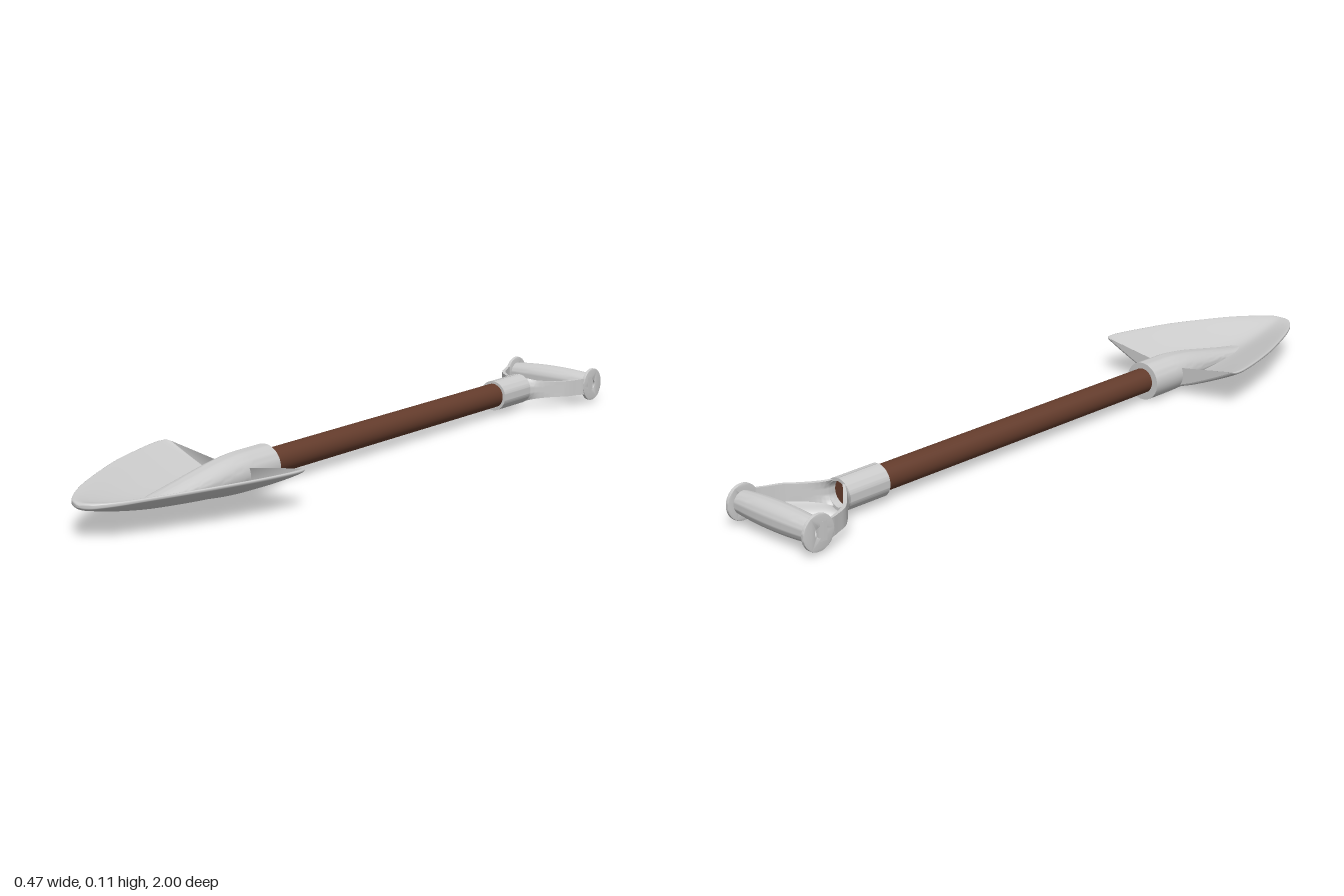
import * as THREE from 'three';
import { toCreasedNormals } from 'three/addons/utils/BufferGeometryUtils.js';

const AXIS = 0.057; // height of the shaft's centre line

// Spline every column of a table of stations and sample it n + 1 times
function smooth(rows, n) {
  const curves = rows[0].map((_, c) => new THREE.SplineCurve(rows.map(r => new THREE.Vector2(r[c], 0))));
  return Array.from({ length: n + 1 }, (_, i) => curves.map(c => c.getPoint(i / n).x));
}

// Skin over closed rings (counterclockwise seen from +z, ordered by rising z), with flat end caps
function loft(rings) {
  const pos = [], idx = [], m = rings[0].length, last = rings.length - 1;
  rings.forEach(r => r.forEach(p => pos.push(...p)));
  for (let i = 0; i < last; i++) {
    for (let j = 0; j < m; j++) {
      const a = i * m + j, b = i * m + (j + 1) % m;
      idx.push(a, b, a + m, b, b + m, a + m);
    }
  }
  for (const i of [0, last]) {
    const base = pos.length / 3, r = rings[i];
    r.forEach(p => pos.push(...p));
    pos.push(...[0, 1, 2].map(k => r.reduce((s, p) => s + p[k], 0) / m));
    for (let j = 0; j < m; j++) {
      const a = base + j, b = base + (j + 1) % m;
      idx.push(base + m, ...(i ? [a, b] : [b, a]));
    }
  }
  const g = new THREE.BufferGeometry();
  g.setAttribute('position', new THREE.Float32BufferAttribute(pos, 3));
  g.setIndex(idx);
  g.computeVertexNormals();
  return g;
}

// Dished blade: z, half width, half thickness, centre height, edge height
function bladeGeometry() {
  const rows = [
    [0.468, 0.222, 0.002, 0.022, 0.104], [0.472, 0.230, 0.007, 0.022, 0.104],
    [0.485, 0.236, 0.009, 0.023, 0.104], [0.52, 0.233, 0.010, 0.025, 0.104],
    [0.60, 0.214, 0.010, 0.030, 0.103], [0.70, 0.184, 0.010, 0.037, 0.102],
    [0.80, 0.144, 0.010, 0.047, 0.099], [0.88, 0.108, 0.010, 0.060, 0.096],
    [0.94, 0.074, 0.010, 0.073, 0.092], [0.98, 0.042, 0.010, 0.083, 0.089],
    [0.994, 0.022, 0.008, 0.086, 0.088], [1.0, 0.004, 0.003, 0.087, 0.087],
  ];
  const k = 0.06, N = 72;
  const dish = s => (Math.sqrt(s * s + k) - Math.sqrt(k)) / (Math.sqrt(1 + k) - Math.sqrt(k));
  return loft(smooth(rows, 66).map(([z, w, t, c, e]) => Array.from({ length: N }, (_, j) => {
    const a = j / N * Math.PI * 2, s = Math.cos(a), h = Math.sin(a);
    return [w * s, c + (e - c) * dish(s) + t * Math.sign(h) * Math.abs(h) ** 0.5, z];
  })));
}

// Socket fading into the blade: z, half width, top, bottom
function bladeSocketGeometry() {
  const rows = [
    [0.355, 0.053, 0.109, 0.003], [0.41, 0.053, 0.109, 0.003], [0.47, 0.053, 0.108, 0.004],
    [0.54, 0.050, 0.100, 0.009], [0.62, 0.045, 0.085, 0.019], [0.70, 0.038, 0.069, 0.030],
    [0.76, 0.030, 0.058, 0.038], [0.81, 0.018, 0.053, 0.044],
  ];
  const N = 40;
  return toCreasedNormals(loft(smooth(rows, 35).map(([z, w, top, bottom]) => Array.from({ length: N }, (_, j) => {
    const a = j / N * Math.PI * 2;
    return [w * Math.cos(a), (top + bottom) / 2 + (top - bottom) / 2 * Math.sin(a), z];
  }))), 0.7);
}

// One arm of the fork: z, outer x, half height, thickness along x, inward curl of the edges
function armGeometry() {
  const rows = [
    [-0.955, 0.140, 0.024, 0.008, 0], [-0.915, 0.139, 0.024, 0.008, 0], [-0.885, 0.129, 0.023, 0.009, 0],
    [-0.85, 0.114, 0.023, 0.011, 0], [-0.82, 0.088, 0.023, 0.014, 0], [-0.79, 0.058, 0.027, 0.013, 0.004],
    [-0.768, 0.043, 0.034, 0.009, 0.017], [-0.74, 0.042, 0.035, 0.007, 0.018],
  ];
  const N = 10;
  return toCreasedNormals(loft(smooth(rows, 42).map(([z, x, h, t, curl]) => {
    const side = Array.from({ length: N + 1 }, (_, j) => {
      const u = j / N * 2 - 1;
      return [x - curl * u * u, h * u, z];
    });
    return [...side, ...side.map(([px, py]) => [px - t, py, z]).reverse()];
  })), 0.7);
}

// Half of the split upper socket
function halfSocketGeometry() {
  const gap = 0.03, shape = new THREE.Shape();
  shape.absarc(0, 0, 0.043, -Math.PI / 2 + gap, Math.PI / 2 - gap, false);
  shape.absarc(0, 0, 0.0345, Math.PI / 2 - gap, -Math.PI / 2 + gap, true);
  const g = new THREE.ExtrudeGeometry(shape, { depth: 0.13, bevelEnabled: false, curveSegments: 24 });
  return toCreasedNormals(g.translate(0, 0, -0.77), 0.6);
}

// Pierced round eye at the end of an arm
function eyeGeometry() {
  const shape = new THREE.Shape().absarc(0, 0, 0.0455, 0, Math.PI * 2, false);
  shape.holes.push(new THREE.Path().absarc(0, 0, 0.014, 0, Math.PI * 2, true));
  const g = new THREE.ExtrudeGeometry(shape, {
    depth: 0.006, bevelThickness: 0.0015, bevelSize: 0.0015, bevelSegments: 2, curveSegments: 24,
  });
  return toCreasedNormals(g.rotateY(Math.PI / 2).translate(0.1325, 0, -0.953), 0.6);
}

// Barrel-shaped hollow grip
function gripGeometry() {
  const pts = [[0.0125, -0.132]];
  for (let i = 0; i <= 16; i++) {
    const u = i / 8 - 1;
    pts.push([0.037 - 0.007 * u * u, 0.132 * u]);
  }
  pts.push([0.0125, 0.132], [0.0125, -0.132]);
  const g = new THREE.LatheGeometry(pts.map(p => new THREE.Vector2(...p)), 36);
  return toCreasedNormals(g.rotateZ(Math.PI / 2).translate(0, 0, -0.953), 0.6);
}

export function createModel() {
  const model = new THREE.Group();
  model.name = 'shovel';
  const metal = new THREE.MeshStandardMaterial({ color: 0xcccccc });
  const wood = new THREE.MeshStandardMaterial({ color: 0x643c2c });
  const add = (parent, name, geometry, material = metal) => {
    const mesh = new THREE.Mesh(geometry, material);
    mesh.name = name;
    parent.add(mesh);
    return mesh;
  };

  add(model, 'blade', bladeGeometry());
  add(model, 'bladeSocket', bladeSocketGeometry());

  // Wooden shaft running into both sockets
  const shaft = new THREE.CylinderGeometry(0.0345, 0.0345, 1.14, 36).rotateX(Math.PI / 2);
  add(model, 'shaft', shaft, wood).position.set(0, AXIS + 0.001, -0.18);

  // Fork and grip, both sides alike
  const handle = new THREE.Group();
  handle.name = 'handle';
  handle.position.y = AXIS;
  model.add(handle);
  const arm = armGeometry(), eye = eyeGeometry(), socket = halfSocketGeometry();
  for (const side of ['left', 'right']) {
    const half = new THREE.Group();
    half.name = side + 'Fork';
    half.rotation.z = side === 'left' ? 0 : Math.PI;
    add(half, side + 'Arm', arm);
    add(half, side + 'Eye', eye);
    add(half, side + 'SocketHalf', socket);
    handle.add(half);
  }
  add(handle, 'grip', gripGeometry());
  return model;
}
